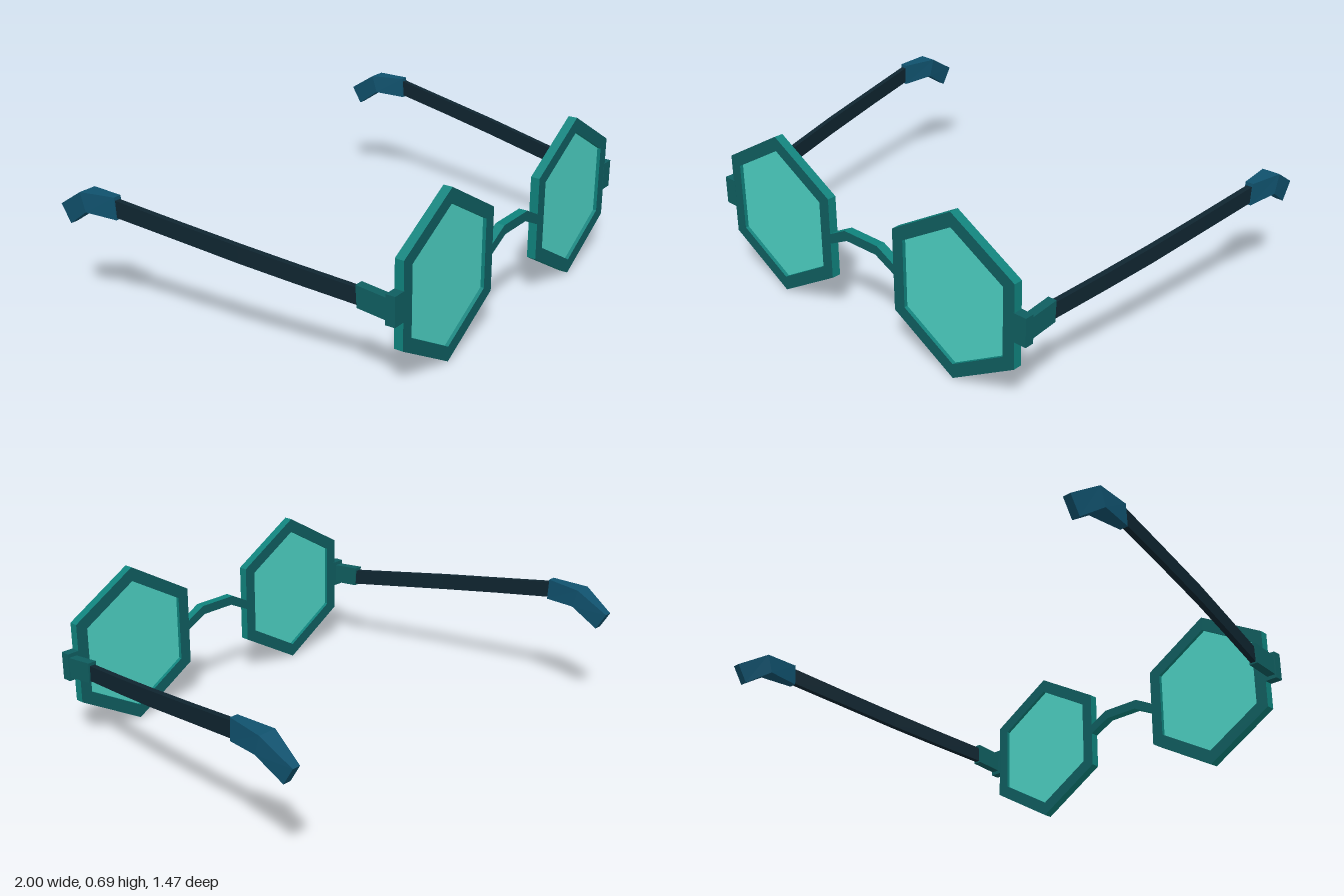
import * as THREE from 'three';

const mat = (name, color) => {
  const m = new THREE.MeshStandardMaterial({ color });
  m.name = name;
  return m;
};

// Hexagon with a corner pointing up
const hexagon = (radius) => Array.from({ length: 6 }, (_, i) => {
  const a = Math.PI / 2 + i * Math.PI / 3;
  return new THREE.Vector2(radius * Math.cos(a), radius * Math.sin(a));
});

// Four-sided bar through sections [x, halfWidth, topZ, topY, bottomZ, bottomY], front to back
function bar(sections, side) {
  const rings = sections.map(([x, w, tz, ty, bz, by]) => [
    [side * x + w, ty, tz], [side * x - w, ty, tz],
    [side * x - w, by, bz], [side * x + w, by, bz],
  ]);
  const pos = [];
  const quad = (a, b, c, d) => pos.push(...a, ...b, ...c, ...a, ...c, ...d);
  quad(...rings[0]);
  for (let k = 0; k < rings.length - 1; k++) {
    for (let i = 0; i < 4; i++) {
      const j = (i + 1) % 4;
      quad(rings[k][i], rings[k + 1][i], rings[k + 1][j], rings[k][j]);
    }
  }
  quad(...rings[rings.length - 1].slice().reverse());
  const g = new THREE.BufferGeometry();
  g.setAttribute('position', new THREE.Float32BufferAttribute(pos, 3));
  g.computeVertexNormals();
  return g;
}

export function createModel() {
  const group = new THREE.Group();
  const frame = mat('frame teal', 0x0f5e60);
  const edge = mat('frame edge teal', 0x0f827c);
  const lens = mat('lens turquoise', 0x4cd0c2);
  const arm = mat('arm navy', 0x0f2530);
  const tip = mat('ear tip blue', 0x10526e);

  const add = (name, geometry, material) => {
    const mesh = new THREE.Mesh(geometry, material);
    mesh.name = name;
    group.add(mesh);
    return mesh;
  };

  const back = 0.695, depth = 0.038, lensX = 0.475, lensY = 0.35;
  const plate = (shape) => new THREE.ExtrudeGeometry(shape, { depth, bevelEnabled: false })
    .translate(0, 0, back);

  // Bridge between the rims
  const bridge = new THREE.Shape([
    [-0.18, 0.328], [-0.08, 0.377], [0.08, 0.377], [0.18, 0.328],
    [0.18, 0.37], [0.09, 0.417], [-0.09, 0.417], [-0.18, 0.37],
  ].map(([x, y]) => new THREE.Vector2(x, y)));
  add('bridge', plate(bridge), [frame, edge]);

  for (const side of [-1, 1]) {
    const label = side > 0 ? 'left' : 'right';

    // Hexagonal rim
    const rim = new THREE.Shape(hexagon(0.345));
    rim.holes.push(new THREE.Path(hexagon(0.284)));
    add(label + 'Rim', plate(rim).translate(side * lensX, lensY, 0), [frame, edge]);

    // Lens pane at mid depth
    const pane = new THREE.ExtrudeGeometry(new THREE.Shape(hexagon(0.288)),
      { depth: 0.008, bevelEnabled: false });
    add(label + 'Lens', pane, lens).position.set(side * lensX, lensY, back + depth / 2 - 0.004);

    // Hinge block and its stub
    add(label + 'HingeBlock', new THREE.BoxGeometry(0.06, 0.118, 0.04), frame)
      .position.set(side * 0.797, 0.35, back + depth / 2);
    add(label + 'Hinge', bar([
      [0.803, 0.019, 0.7, 0.392, 0.7, 0.306],
      [0.803, 0.019, 0.565, 0.405, 0.57, 0.318],
    ], side), frame);

    // Arm, bowed slightly outwards
    add(label + 'Arm', bar([
      [0.801, 0.012, 0.575, 0.39, 0.575, 0.324],
      [0.846, 0.012, 0.33, 0.424, 0.33, 0.357],
      [0.886, 0.012, 0.1, 0.457, 0.1, 0.389],
      [0.925, 0.012, -0.17, 0.494, -0.17, 0.427],
      [0.962, 0.012, -0.44, 0.532, -0.44, 0.463],
    ], side), arm);

    // Ear tip, widest at its bend
    add(label + 'EarTip', bar([
      [0.96, 0.017, -0.435, 0.545, -0.43, 0.454],
      [0.96, 0.038, -0.597, 0.537, -0.573, 0.459],
      [0.96, 0.017, -0.731, 0.453, -0.686, 0.38],
    ], side), tip);
  }
  return group;
}
